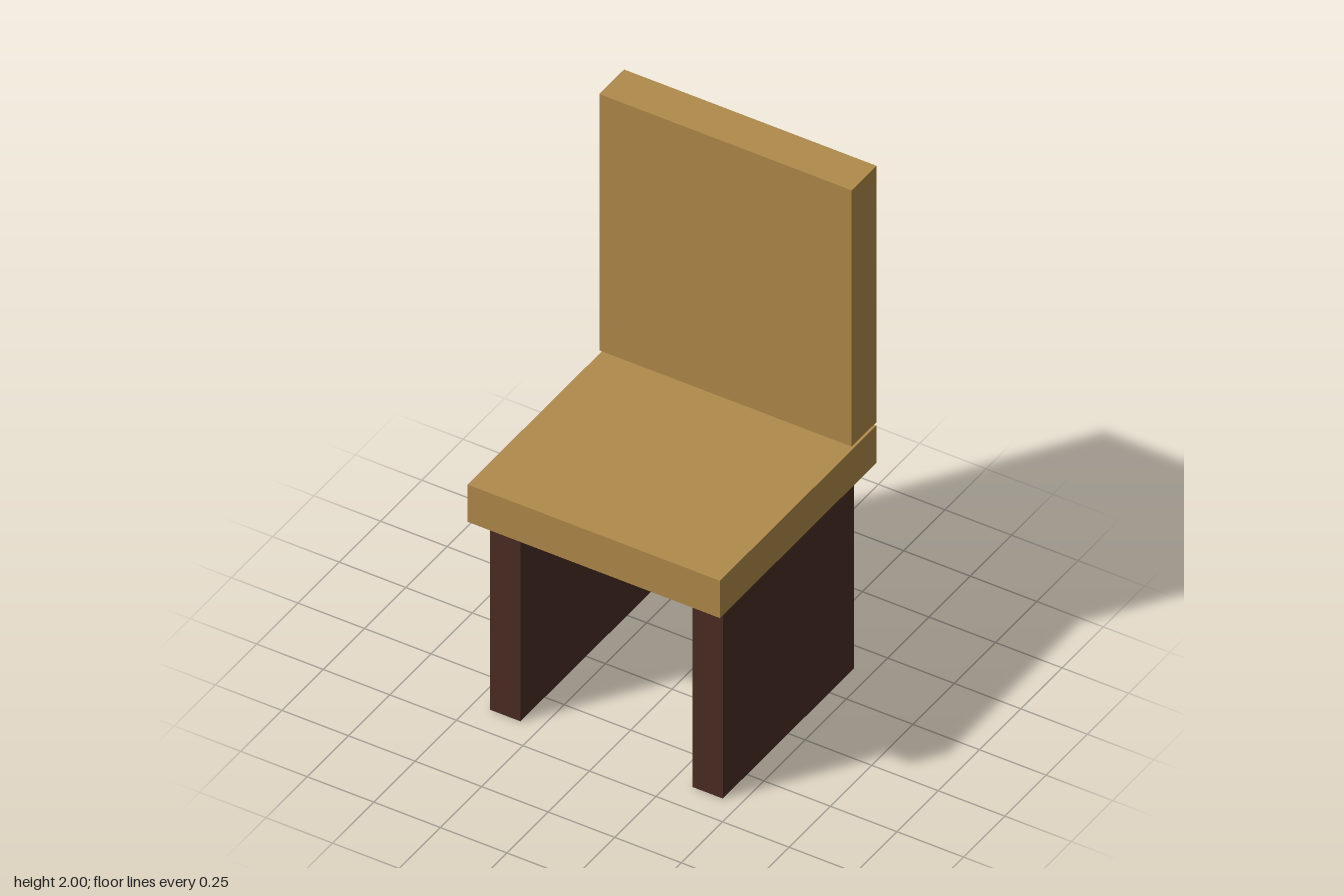
import * as THREE from 'three';

export function createModel() {
  const chair = new THREE.Group();
  chair.name = 'chair';

  const lightWood = new THREE.MeshStandardMaterial({ color: 0xb08a4a });
  lightWood.name = 'light wood';
  const darkWood = new THREE.MeshStandardMaterial({ color: 0x4a2c24 });
  darkWood.name = 'dark wood';

  // Box given by its lower and upper corners
  function addBox(name, material, min, max) {
    const size = max.map((v, i) => v - min[i]);
    const mesh = new THREE.Mesh(new THREE.BoxGeometry(...size), material);
    mesh.position.set(...max.map((v, i) => (v + min[i]) / 2));
    mesh.name = name;
    chair.add(mesh);
  }

  const half = 0.474;

  // Seat slab
  addBox('seat', lightWood, [-half, 0.797, -half], [half, 0.948, half]);

  // Backrest, with a narrow gap above the seat
  addBox('backrest', lightWood, [-half, 0.962, -half], [half, 2, -0.324]);

  // Slab legs, one on each side
  addBox('leftLeg', darkWood, [0.323, 0, -0.397], [0.437, 0.797, 0.397]);
  addBox('rightLeg', darkWood, [-0.437, 0, -0.397], [-0.323, 0.797, 0.397]);

  return chair;
}
